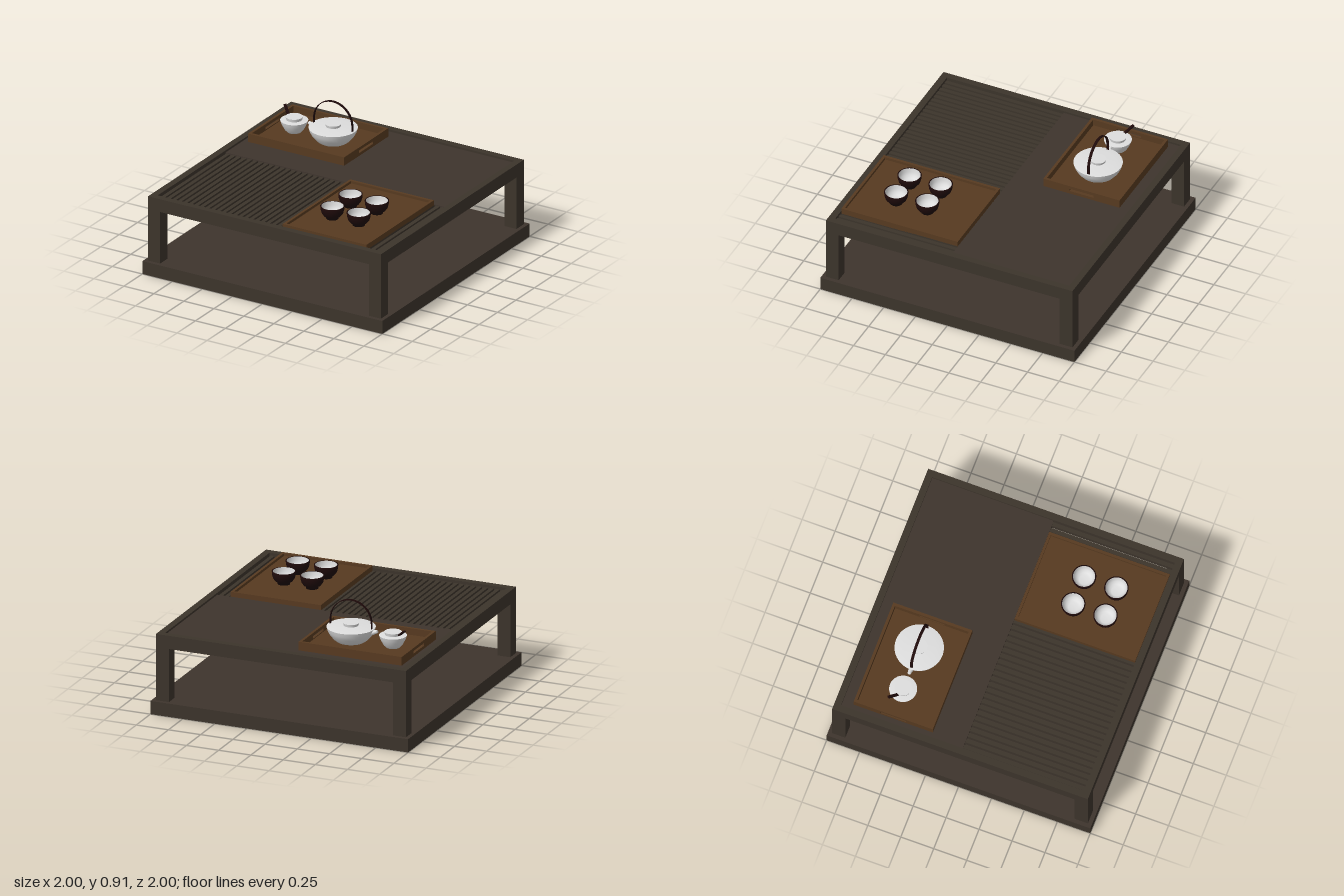
import * as THREE from 'three';

const mat = (name, hex, side = THREE.FrontSide) => {
  const m = new THREE.MeshStandardMaterial({ color: hex, side });
  m.name = name;
  return m;
};

export function createModel() {
  const frameWood = mat('frame wood', 0x3c342b);
  const panelWood = mat('panel wood', 0x3e342d);
  const trayWood = mat('tray wood', 0x573a20);
  const porcelain = mat('porcelain', 0xdedede, THREE.DoubleSide);
  const lacquer = mat('dark lacquer', 0x1e0a0a, THREE.DoubleSide);

  const root = new THREE.Group();
  root.name = 'teaTable';

  const add = (parent, name, geo, material, x = 0, y = 0, z = 0) => {
    const m = new THREE.Mesh(geo, material);
    m.name = name;
    m.position.set(x, y, z);
    parent.add(m);
    return m;
  };
  // Box given by its centre in plan and its bottom and top heights
  const box = (parent, name, material, w, d, y0, y1, x = 0, z = 0) =>
    add(parent, name, new THREE.BoxGeometry(w, y1 - y0, d), material, x, (y0 + y1) / 2, z);
  const group = (name, x = 0, y = 0, z = 0) => {
    const g = new THREE.Group();
    g.name = name;
    g.position.set(x, y, z);
    root.add(g);
    return g;
  };
  const lathe = (pts, seg = 40) => new THREE.LatheGeometry(pts.map(p => new THREE.Vector2(...p)), seg);

  // Lower shelf: frame-coloured edges, panel faces
  box(root, 'baseShelf', [frameWood, frameWood, panelWood, panelWood, frameWood, frameWood], 2, 2, 0, 0.1);

  // Legs and top frame
  for (const s of [-1, 1]) {
    for (const t of [-1, 1]) box(root, 'leg', frameWood, 0.1, 0.1, 0.1, 0.5, s * 0.92, t * 0.92);
    box(root, 'sideRail', frameWood, 0.05, 1.94, 0.5, 0.6, s * 0.945, 0);
    box(root, 'endRail', frameWood, 1.84, 0.05, 0.5, 0.6, 0, s * 0.945);
  }

  // Solid rear half and slatted front half of the top
  box(root, 'topPanel', panelWood, 1.84, 0.92, 0.53, 0.585, 0, -0.46);
  const slats = 40, pitch = 1.84 / slats;
  for (let i = 0; i < slats; i++)
    box(root, 'slat', frameWood, 0.03, 0.92, 0.54, 0.58, -0.92 + (i + 0.5) * pitch, 0.46);

  // Tray with a raised rim; the deeper one has hand slots in its sides
  const tray = (name, w, d, x, z, y0, floor, top, slot) => {
    const g = group(name, x, 0, z), t = 0.02;
    box(g, 'trayFloor', trayWood, w - 2 * t, d - 2 * t, y0, floor);
    for (const s of [-1, 1]) {
      box(g, 'trayEndWall', trayWood, w, t, y0, top, 0, s * (d - t) / 2);
      const h = d / 2 - t;
      const side = new THREE.Shape([[-h, y0], [h, y0], [h, top], [-h, top]].map(p => new THREE.Vector2(...p)));
      if (slot) {
        const hole = [[-0.095, 0.607], [-0.095, 0.627], [0.095, 0.627], [0.095, 0.607]];
        side.holes.push(new THREE.Path(hole.map(p => new THREE.Vector2(...p))));
      }
      const geo = new THREE.ExtrudeGeometry(side, { depth: t, bevelEnabled: false });
      geo.translate(0, 0, -t / 2);
      geo.rotateY(Math.PI / 2);
      add(g, 'traySideWall', geo, trayWood, s * (w - t) / 2);
    }
  };
  tray('teapotTray', 0.8, 0.6, -0.48, -0.54, 0.58, 0.6, 0.65, true);
  tray('cupTray', 0.7, 0.915, 0.47, 0.4625, 0.575, 0.6, 0.62, false);

  // Teapot: body, lid knob, spout and strap handle
  const pot = group('teapot', -0.355, 0.6, -0.54);
  add(pot, 'teapotBody', lathe([[0, 0], [0.1, 0], [0.125, 0.018], [0.152, 0.05], [0.168, 0.08], [0.176, 0.108]]), porcelain);
  add(pot, 'teapotTop', lathe([[0.176, 0.108], [0.12, 0.115], [0, 0.119]]), porcelain);
  add(pot, 'teapotKnob', new THREE.CylinderGeometry(0.058, 0.052, 0.024, 32), porcelain, 0, 0.125);
  const spout = add(pot, 'teapotSpout', new THREE.CylinderGeometry(0.012, 0.022, 0.06, 16), porcelain, -0.176, 0.088);
  spout.rotation.z = 1.25;

  const R = 0.162, r = 0.157, rise = 0.148;
  const strap = new THREE.Shape();
  strap.moveTo(R, 0.1);
  strap.lineTo(R, rise);
  strap.absarc(0, rise, R, 0, Math.PI, false);
  strap.lineTo(-R, 0.1);
  strap.lineTo(-r, 0.1);
  strap.lineTo(-r, rise);
  strap.absarc(0, rise, r, Math.PI, 0, true);
  strap.lineTo(r, 0.1);
  const strapGeo = new THREE.ExtrudeGeometry(strap, { depth: 0.02, bevelEnabled: false, curveSegments: 32 });
  add(pot, 'teapotHandle', strapGeo, lacquer, 0, 0, -0.01);

  // Lidded sugar bowl with a spoon handle
  const bowl = group('smallBowl', -0.68, 0.6, -0.54);
  add(bowl, 'bowlBody', lathe([[0, 0], [0.05, 0], [0.068, 0.018], [0.085, 0.05], [0.094, 0.07], [0.1, 0.09]]), porcelain);
  add(bowl, 'bowlTop', lathe([[0.1, 0.09], [0.06, 0.094], [0, 0.094]]), porcelain);
  add(bowl, 'bowlKnob', new THREE.CylinderGeometry(0.062, 0.056, 0.026, 32), porcelain, 0, 0.103);
  const a = new THREE.Vector3(-0.055, 0.1, -0.027), b = new THREE.Vector3(-0.122, 0.16, -0.06);
  const spoon = add(bowl, 'spoonHandle', new THREE.BoxGeometry(0.02, 0.01, a.distanceTo(b)), lacquer);
  spoon.position.copy(a).lerp(b, 0.5);
  spoon.lookAt(b);

  // Four cups: dark outside, white inside
  const outer = lathe([[0, 0], [0.045, 0], [0.045, 0.014], [0.062, 0.023], [0.077, 0.043], [0.084, 0.068], [0.087, 0.096], [0.079, 0.096]]);
  const inner = lathe([[0.079, 0.096], [0.076, 0.068], [0.068, 0.045], [0.052, 0.028], [0.035, 0.021], [0, 0.021]]);
  for (const x of [0.345, 0.565]) for (const z of [0.365, 0.61]) {
    const cup = group('cup', x, 0.6, z);
    add(cup, 'cupOutside', outer, lacquer);
    add(cup, 'cupInside', inner, porcelain);
  }
  return root;
}
